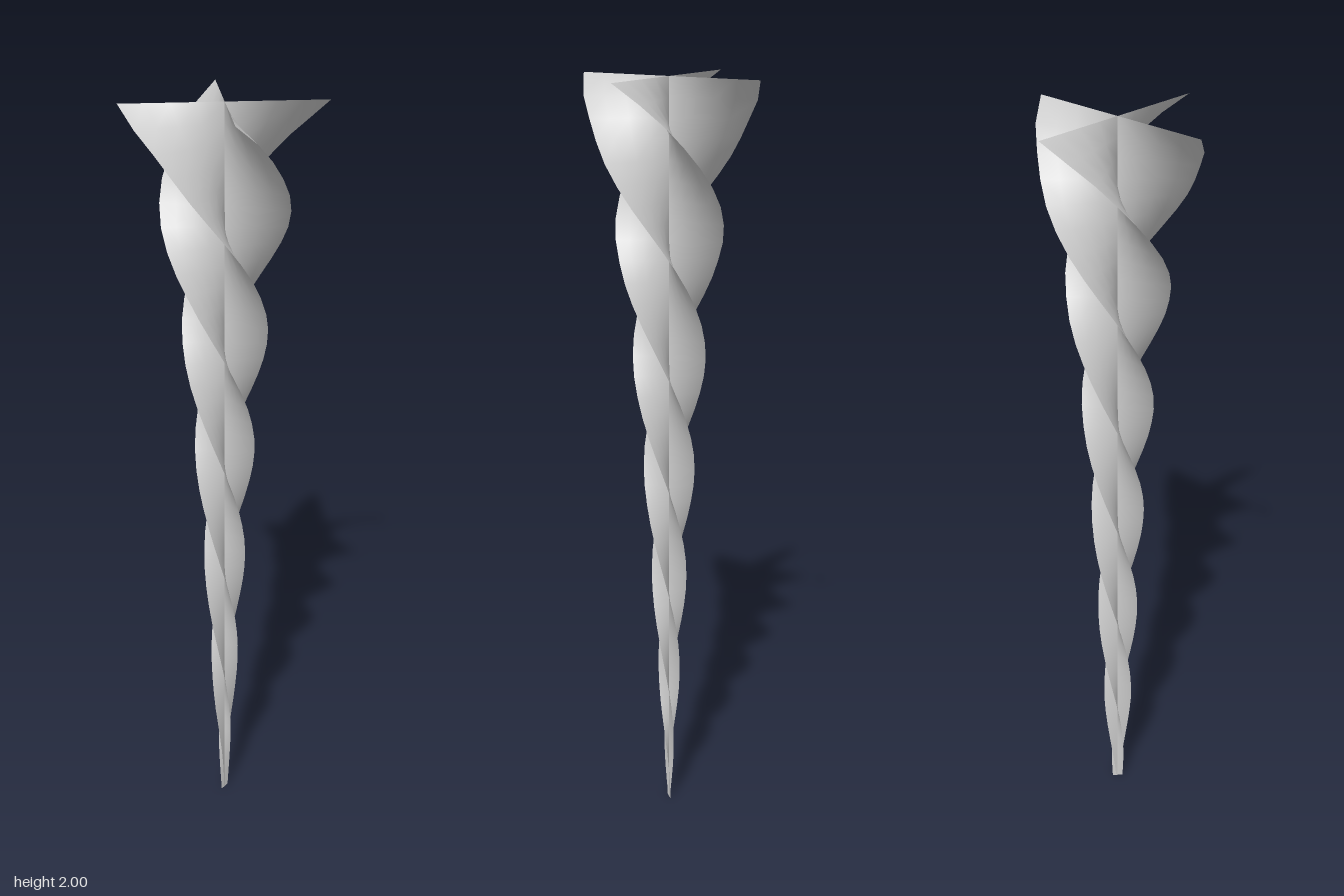
import * as THREE from 'three';
import { ParametricGeometry } from 'three/addons/geometries/ParametricGeometry.js';

const HEIGHT = 2;
const TURN_RATE = THREE.MathUtils.degToRad(287); // twist per unit of height
const TOP_ANGLE = THREE.MathUtils.degToRad(49.5);

// Blade reach at given heights: [y, reach along x, reach along z]
const REACH = [
  [0, 0.015, 0.001], [0.3, 0.039, 0.022], [0.6, 0.054, 0.041], [0.9, 0.068, 0.06],
  [1.2, 0.088, 0.085], [1.38, 0.105, 0.103], [1.55, 0.126, 0.125], [1.7, 0.154, 0.154],
  [1.86, 0.182, 0.182], [1.91, 0.198, 0.198], [2, 0.25, 0.25],
];

function reachAt(y) {
  let i = 1;
  while (i < REACH.length - 1 && REACH[i][0] < y) i++;
  const [a, b] = [REACH[i - 1], REACH[i]];
  const t = (y - a[0]) / (b[0] - a[0]);
  return [1, 2].map((k) => THREE.MathUtils.lerp(a[k], b[k], t));
}

// A flaring helicoid ribbon, running edge to edge through the axis
function twistedRibbon(phase) {
  return new ParametricGeometry((u, v, p) => {
    const y = v * HEIGHT;
    const angle = TOP_ANGLE + phase + TURN_RATE * (y - HEIGHT);
    const [rx, rz] = reachAt(y);
    const s = u * 2 - 1;
    p.set(-s * rx * Math.sin(angle), y, s * rz * Math.cos(angle));
  }, 8, 40);
}

export function createModel() {
  const group = new THREE.Group();
  group.name = 'twistedSpike';
  const material = new THREE.MeshStandardMaterial({ color: 0xcccccc, side: THREE.DoubleSide });

  // Two ribbons at right angles give four spiral blades
  ['firstBladePair', 'secondBladePair'].forEach((name, i) => {
    const ribbon = new THREE.Mesh(twistedRibbon(i * Math.PI / 2), material);
    ribbon.name = name;
    group.add(ribbon);
  });
  return group;
}
